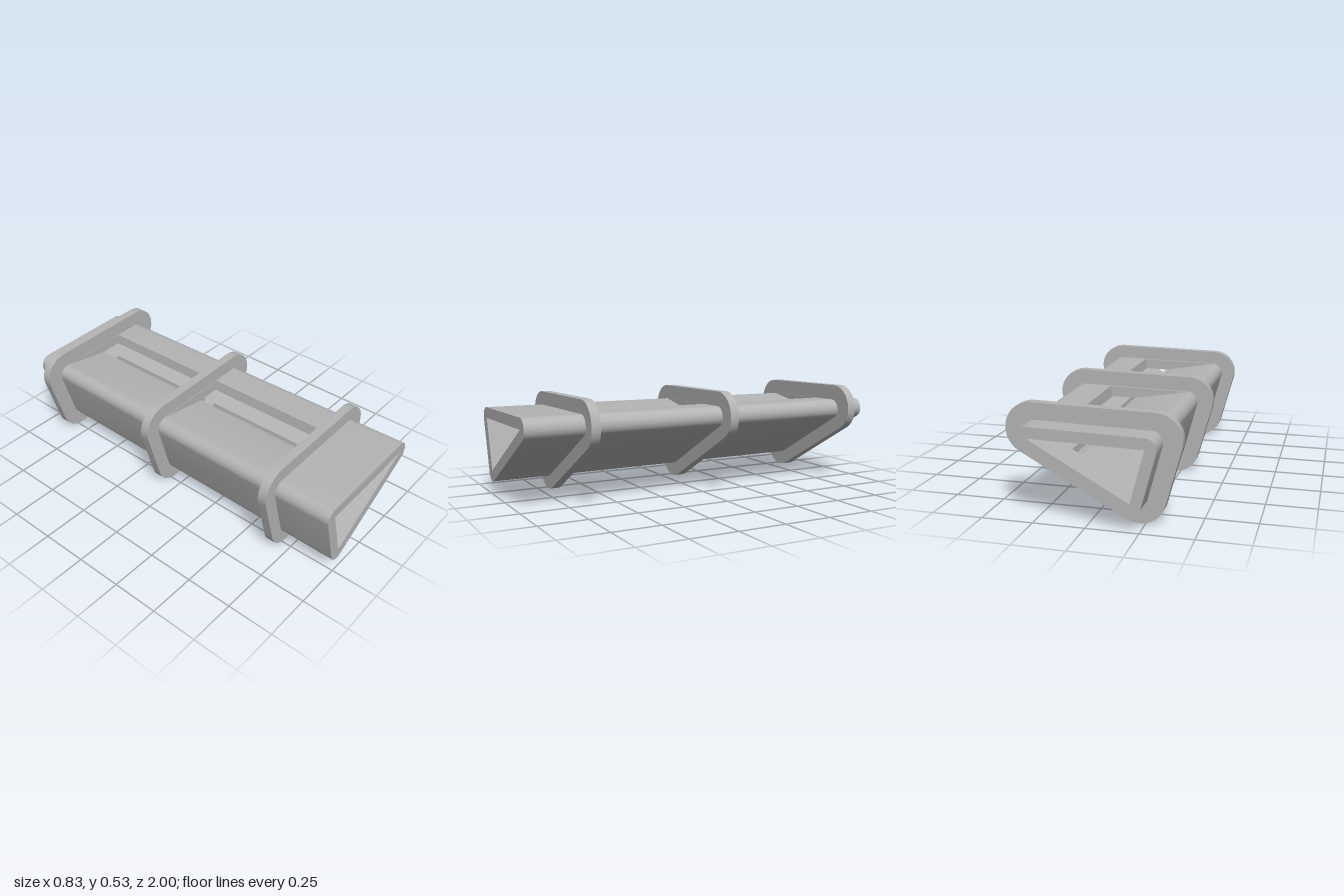
import * as THREE from 'three';
import { toCreasedNormals } from 'three/addons/utils/BufferGeometryUtils.js';

// Bore triangle, counter-clockwise: upper left, bottom, right
const A = new THREE.Vector2(-0.292, 0.396);
const C = new THREE.Vector2(-0.22, 0.127);
const B = new THREE.Vector2(0.29, 0.409);
const TRIANGLE = [A, C, B];
const WALL = 0.057;

const ceilingY = (x) => A.y + ((B.y - A.y) / (B.x - A.x)) * (x - A.x);
const floorY = (x) => C.y + ((B.y - C.y) / (B.x - C.x)) * (x - C.x);

// Triangle outline grown by r, with rounded corners
function addRoundedOutline(path, r) {
  TRIANGLE.forEach((p, i) => {
    const prev = TRIANGLE[(i + 2) % 3];
    const next = TRIANGLE[(i + 1) % 3];
    const a0 = Math.atan2(p.y - prev.y, p.x - prev.x) - Math.PI / 2;
    const a1 = Math.atan2(next.y - p.y, next.x - p.x) - Math.PI / 2;
    path.absarc(p.x, p.y, r, a0, a1, false);
  });
  return path;
}

function closedSection() {
  const shape = addRoundedOutline(new THREE.Shape(), WALL);
  shape.holes.push(new THREE.Path([A, B, C]));
  return shape;
}

// Section cut by the tilted slot, which also bites into the bore floor
function slottedSection() {
  const shape = new THREE.Shape();
  shape.moveTo(0.01, ceilingY(0.01) + WALL);
  addRoundedOutline(shape, WALL);
  shape.lineTo(0.14, ceilingY(0.14) + WALL);
  shape.lineTo(0.131, ceilingY(0.131));
  shape.lineTo(B.x, B.y);
  shape.lineTo(0.12, floorY(0.12));
  shape.lineTo(0.115, 0.281);
  shape.lineTo(0.07, floorY(0.07));
  shape.lineTo(C.x, C.y);
  shape.lineTo(A.x, A.y);
  shape.lineTo(0.0015, ceilingY(0.0015));
  shape.closePath();
  return shape;
}

function extrude(shape, z0, z1) {
  const geometry = new THREE.ExtrudeGeometry(shape, {
    depth: z1 - z0, bevelEnabled: false, curveSegments: 14,
  });
  return geometry.translate(0, 0, z0);
}

// The tube narrows evenly towards the back
function taper(geometry) {
  const pos = geometry.attributes.position;
  for (let i = 0; i < pos.count; i++) {
    const s = 1 - 0.032 * (1 - pos.getZ(i));
    pos.setXY(i, -0.02 + (pos.getX(i) + 0.02) * s, 0.25 + (pos.getY(i) - 0.25) * s);
  }
  return geometry;
}

export function createModel() {
  const model = new THREE.Group();
  model.name = 'triangularTube';
  const grey = new THREE.MeshStandardMaterial({ color: 0xb4b4b4 });
  grey.name = 'grey';

  const add = (name, geometry) => {
    const mesh = new THREE.Mesh(toCreasedNormals(geometry, 0.4), grey);
    mesh.name = name;
    model.add(mesh);
  };

  // Tube, in closed and slotted lengths from back to front
  const cuts = [-1, -0.83, -0.13, -0.065, 0.635, 1];
  for (let i = 0; i < cuts.length - 1; i++) {
    const slotted = i % 2 === 1;
    const section = slotted ? slottedSection() : closedSection();
    add(slotted ? 'slottedTube' : 'closedTube', taper(extrude(section, cuts[i], cuts[i + 1])));
  }

  // Three collars around the tube, seated in its wall
  for (const z of [-0.857, -0.0925, 0.672]) {
    const collar = addRoundedOutline(new THREE.Shape(), 0.126);
    collar.holes.push(addRoundedOutline(new THREE.Path(), 0.03));
    add('collar', extrude(collar, z - 0.024, z + 0.024));
  }
  return model;
}
